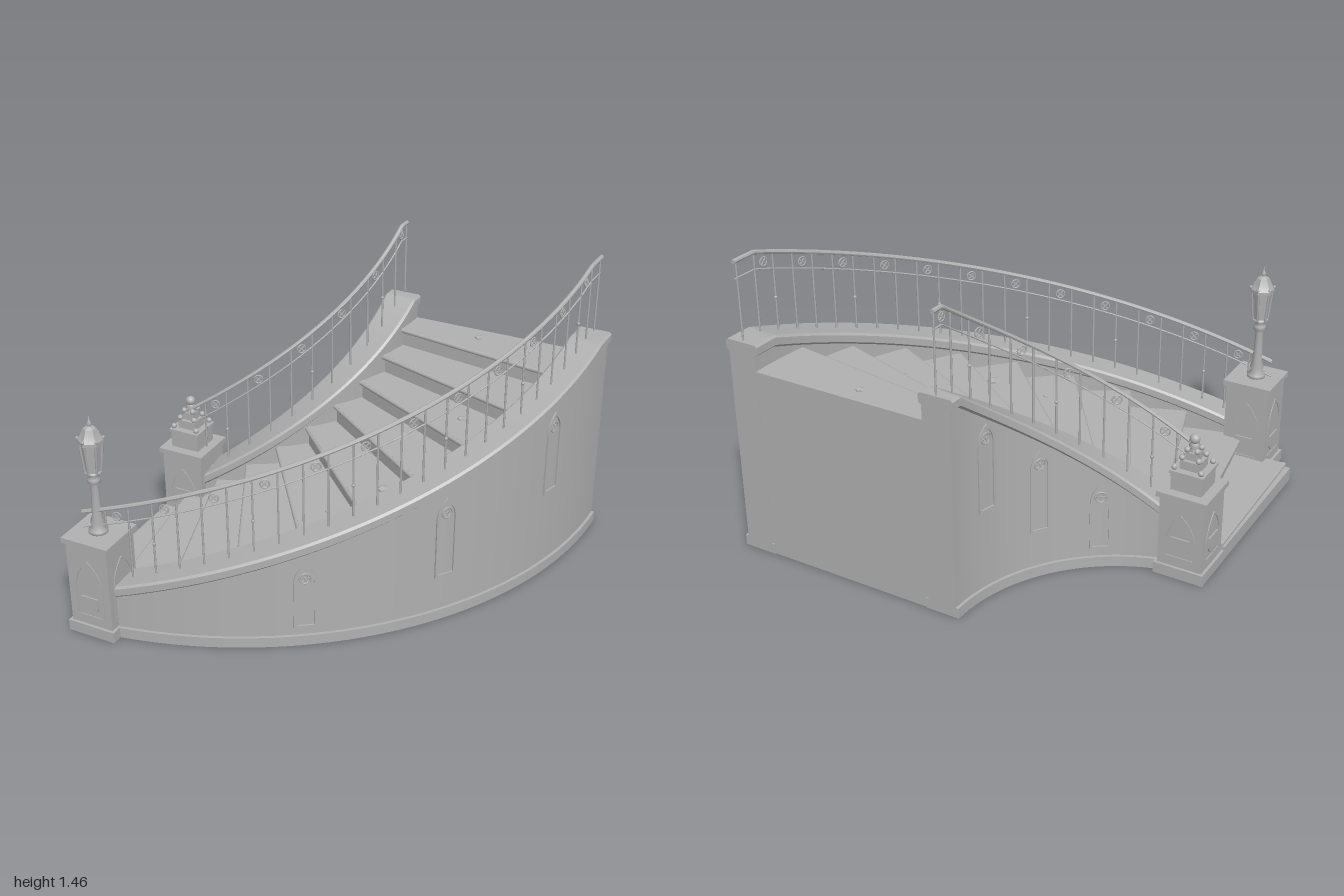
import * as THREE from 'three';
import { toCreasedNormals } from 'three/addons/utils/BufferGeometryUtils.js';

const stone = new THREE.MeshStandardMaterial({ color: 0xb0b0b0 });
stone.name = 'grey stone';
const D = Math.PI / 180;
const STEPS = 10, RISE = 0.0945, ARC = 9;

// Point on the stair plan, slightly flattened in z (angle 0 = top end, 90 = foot)
const planX = (r, a) => -1 + r * Math.cos(a * D);
const planZ = (r, a) => -0.99 + 0.985 * r * Math.sin(a * D);
const copingY = (a) => 1.075 - 0.01056 * (Math.max(a, 4) - 4);
const railY = (a) => copingY(a) + 0.375;
const flat = () => 0;

function add(parent, name, geo, x = 0, y = 0, z = 0) {
  const m = new THREE.Mesh(geo, stone);
  m.name = name;
  m.position.set(x, y, z);
  parent.add(m);
  return m;
}
const box = (p, name, w, h, d, x, y, z) => add(p, name, new THREE.BoxGeometry(w, h, d), x, y, z);

// Sweeps a counter-clockwise (radius, height) section around the stair centre
function arcSweep(section, a0, a1, n) {
  const pos = [], idx = [];
  const m = section(a0).length;
  for (let k = 0; k <= n; k++) {
    const a = a0 + (a1 - a0) * k / n;
    for (const [r, y] of section(a)) pos.push(planX(r, a), y, planZ(r, a));
  }
  for (let k = 0; k < n; k++) for (let i = 0; i < m; i++) {
    const j = (i + 1) % m, p = k * m, q = p + m;
    idx.push(p + i, p + j, q + i, p + j, q + j, q + i);
  }
  const outline = section(a0).map(([r, y]) => new THREE.Vector2(r, y));
  for (const [a, b, c] of THREE.ShapeUtils.triangulateShape(outline, [])) {
    idx.push(a, c, b, n * m + a, n * m + b, n * m + c);
  }
  const g = new THREE.BufferGeometry();
  g.setAttribute('position', new THREE.Float32BufferAttribute(pos, 3));
  g.setIndex(idx);
  return toCreasedNormals(g.toNonIndexed(), 0.6);
}
const rect = (r0, r1, low, high) => (a) => [[r0, low(a)], [r1, low(a)], [r1, high(a)], [r0, high(a)]];
const round = (r, rad, height) => (a) => Array.from({ length: 8 }, (_, i) =>
  [r + rad * Math.cos(i * Math.PI / 4), height(a) + rad * Math.sin(i * Math.PI / 4)]);

// Sets an object on the arc with its local z pointing outwards (or inwards)
function onArc(obj, r, a, y, inward = false) {
  obj.position.set(planX(r, a), y, planZ(r, a));
  obj.rotation.y = Math.PI / 2 - a * D + (inward ? Math.PI : 0);
  return obj;
}

// Pointed arch outline, standing on y = 0
function arch(path, w, h) {
  const s = h - w * 1.05;
  path.moveTo(-w / 2, 0);
  path.lineTo(w / 2, 0);
  path.lineTo(w / 2, s);
  path.quadraticCurveTo(w / 2, s + w * 0.65, 0, h);
  path.quadraticCurveTo(-w / 2, s + w * 0.65, -w / 2, s);
  path.lineTo(-w / 2, 0);
  return path;
}
function archFrame(w, h, t, depth) {
  const shape = arch(new THREE.Shape(), w, h);
  const hole = arch(new THREE.Path(), w - 2 * t, h - 2.4 * t);
  shape.holes.push(new THREE.Path(hole.getPoints(8).map((p) => p.add(new THREE.Vector2(0, t)))));
  return new THREE.ExtrudeGeometry(shape, { depth, bevelEnabled: false, curveSegments: 8 });
}

function lancet(parent, w, h) {
  const g = new THREE.Group();
  g.name = 'lancetWindow';
  const cy = h - w * 0.72;
  add(g, 'windowFrame', archFrame(w, h, 0.014, 0.016), 0, 0, -0.008);
  add(g, 'rosette', new THREE.TorusGeometry(0.026, 0.004, 6, 16), 0, cy, 0.001);
  for (let i = 0; i < 3; i++) {
    const a = (90 + i * 120) * D;
    add(g, 'rosetteLobe', new THREE.TorusGeometry(0.01, 0.003, 5, 10), 0.012 * Math.cos(a), cy + 0.012 * Math.sin(a), 0.001);
  }
  parent.add(g);
  return g;
}

// Curved side wall with plinth, coping, windows and iron railing
function side(name, r, end, railEnd, bars, firstRing, inward) {
  const g = new THREE.Group();
  g.name = name;
  add(g, 'wall', arcSweep(rect(r - 0.07, r + 0.07, flat, (a) => copingY(a) - 0.03), 0, end, 64));
  add(g, 'wallPlinth', arcSweep(rect(r - 0.085, r + 0.085, flat, () => 0.052), 0, end, 48));
  add(g, 'coping', arcSweep((a) => [[-0.07, -0.06], [0.07, -0.06], [0.085, -0.047], [0.085, -0.012], [0.074, -0.002],
    [-0.074, -0.002], [-0.085, -0.012], [-0.085, -0.047]].map(([x, y]) => [r + x, copingY(a) + y]), 0, end, 82));
  add(g, 'handrail', arcSweep(round(r, 0.011, railY), 0, railEnd, 88));
  add(g, 'lowerRail', arcSweep(round(r, 0.004, (a) => railY(a) - 0.08), 0, railEnd, 88));
  const gap = (railEnd - 4) / bars;
  for (let i = 0; i <= bars; i++) {
    const a = 0.5 + i * gap, h = railY(a) - copingY(a);
    onArc(add(g, 'baluster', new THREE.CylinderGeometry(0.005, 0.005, h, 6)), r, a, copingY(a) + h / 2);
    if (i % 4 === 2) onArc(add(g, 'balusterKnob', new THREE.SphereGeometry(0.009, 8, 6)), r, a, copingY(a) + h * 0.42);
    if (i % 2 !== firstRing) continue;
    const ring = onArc(new THREE.Group(), r, a + gap / 2, railY(a + gap / 2) - 0.046);
    ring.name = 'railOrnament';
    add(ring, 'ring', new THREE.TorusGeometry(0.021, 0.0035, 6, 18));
    for (const s of [-1, 1]) box(ring, 'cross', 0.04, 0.005, 0.005, 0, 0, 0).rotation.z = s * Math.PI / 4;
    g.add(ring);
  }
  for (const [a, y, h] of [[54.7, 0.09, 0.345], [35, 0.23, 0.42], [15.6, 0.44, 0.43]]) {
    onArc(lancet(g, inward ? 0.1 : 0.11, h), inward ? r - 0.07 : r + 0.07, a, y, inward);
  }
  return g;
}

// Square newel with moulded base and cap, arch and shield on each face
function newel(name, x, z, h) {
  const g = new THREE.Group();
  g.name = name;
  g.position.set(x, 0, z);
  box(g, 'newelBase', 0.245, 0.055, 0.245, 0, 0.0275, 0);
  box(g, 'newelShaft', 0.218, h - 0.05, 0.218, 0, h / 2, 0);
  box(g, 'newelCap', 0.245, 0.027, 0.245, 0, h - 0.0135, 0);
  const shield = new THREE.Shape();
  shield.moveTo(-0.045, 0.04);
  shield.lineTo(-0.045, -0.01);
  shield.quadraticCurveTo(-0.04, -0.04, 0, -0.055);
  shield.quadraticCurveTo(0.04, -0.04, 0.045, -0.01);
  shield.lineTo(0.045, 0.04);
  for (let i = 0; i < 4; i++) {
    const face = new THREE.Group();
    face.name = 'newelFace';
    face.rotation.y = i * Math.PI / 2;
    add(face, 'panelArch', archFrame(0.15, h - 0.2, 0.008, 0.006), 0, 0.1, 0.107);
    add(face, 'shield', new THREE.ExtrudeGeometry(shield, { depth: 0.009, bevelEnabled: false }), 0, 0.17, 0.107);
    g.add(face);
  }
  return g;
}
const lathe = (pts, n) => new THREE.LatheGeometry(pts.map(([x, y]) => new THREE.Vector2(x, y)), n);

export function createModel() {
  const model = new THREE.Group();
  model.name = 'curvedStaircase';
  model.add(side('outerSide', 1.913, 83, 85, 24, 1, false));
  model.add(side('innerSide', 0.905, 78, 80, 11, 0, true));

  // Winding steps: solid wedges down to the ground, each with a rounded tread
  const steps = new THREE.Group();
  steps.name = 'steps';
  for (let i = 0; i < STEPS; i++) {
    const a = 90 - ARC * i, top = RISE * (i + 1), r0 = i ? 0.95 : 1.0, r1 = i ? 1.86 : 1.83;
    const front = i ? a + 0.4 : a - 1.2;
    add(steps, 'tread', arcSweep(rect(r0, r1, () => top - 0.024, () => top), a - ARC, front, 6));
    add(steps, 'stepBody', arcSweep(rect(r0, r1, () => 0.006, () => top - 0.02), a - ARC + 0.25, i ? a - 0.3 : a, 6));
    const nose = onArc(add(steps, 'nosing', new THREE.CylinderGeometry(0.012, 0.012, r1 - r0, 10)),
      (r0 + r1) / 2, front, top - 0.012);
    nose.rotation.order = 'YXZ';
    nose.rotation.x = Math.PI / 2;
  }
  box(steps, 'backPanel', 0.86, RISE * STEPS - 0.01, 0.02, 0.42, (RISE * STEPS - 0.01) / 2, -0.975);
  model.add(steps);

  // Loose stones lying on the treads
  for (const [x, z, s] of [[0.35, -0.9, 0.022], [0.47, -0.4, 0.022], [0.28, 0.07, 0.032], [0.07, 0.22, 0.016]]) {
    const a = Math.atan2(z + 0.99, x + 1) / D;
    add(model, 'looseStone', new THREE.DodecahedronGeometry(s), x, RISE * (Math.floor((90 - a) / ARC) + 1), z).scale.y = 0.6;
  }

  // Outer newel with hexagonal lantern
  const lampPost = newel('lampNewel', -0.76, 0.875, 0.505);
  add(lampPost, 'lampColumn', lathe([[0, 0.5], [0.045, 0.5], [0.045, 0.52], [0.028, 0.535], [0.034, 0.56], [0.024, 0.59],
    [0.018, 0.75], [0.03, 0.765], [0.03, 0.785], [0.018, 0.8], [0.04, 0.82], [0, 0.825]], 16));
  add(lampPost, 'lanternGlass', toCreasedNormals(lathe([[0, 0.815], [0.034, 0.82], [0.047, 0.97], [0, 0.975]], 6), 0.3));
  add(lampPost, 'lanternRoof', toCreasedNormals(lathe([[0, 0.965], [0.06, 0.965], [0.06, 0.98], [0.045, 1.0],
    [0.03, 1.035], [0.012, 1.045], [0, 1.045]], 6), 0.3));
  add(lampPost, 'lanternFinial', lathe([[0.01, 1.04], [0.007, 1.05], [0.014, 1.06], [0.005, 1.07], [0, 1.095]], 10));
  for (let i = 0; i < 6; i++) {
    const a = i * Math.PI / 3;
    const at = (r, y) => new THREE.Vector3(r * Math.sin(a), y, r * Math.cos(a));
    add(lampPost, 'lanternBar', new THREE.TubeGeometry(new THREE.LineCurve3(at(0.036, 0.815), at(0.051, 0.97)), 1, 0.006, 5));
    add(lampPost, 'roofBead', new THREE.SphereGeometry(0.008, 6, 5)).position.copy(at(0.057, 0.988));
  }
  model.add(lampPost);

  // Inner newel with stepped pedestal and beaded finial
  const finialPost = newel('finialNewel', -0.875, -0.125, 0.43);
  box(finialPost, 'pedestal', 0.15, 0.09, 0.15, 0, 0.47, 0);
  box(finialPost, 'pedestalCap', 0.165, 0.014, 0.165, 0, 0.522, 0);
  box(finialPost, 'pedestalStep', 0.095, 0.045, 0.095, 0, 0.55, 0);
  box(finialPost, 'pedestalTop', 0.06, 0.04, 0.06, 0, 0.59, 0);
  add(finialPost, 'finialNeck', lathe([[0.028, 0.6], [0.015, 0.625], [0.026, 0.64], [0.014, 0.655]], 12));
  add(finialPost, 'finialBall', new THREE.SphereGeometry(0.024, 14, 10), 0, 0.67, 0);
  for (const sx of [-1, 1]) for (const sz of [-1, 1]) {
    for (const [d, y] of [[0.064, 0.543], [0.04, 0.585], [0.024, 0.622]]) {
      add(finialPost, 'bead', new THREE.SphereGeometry(0.014, 10, 8), sx * d, y, sz * d);
    }
  }
  model.add(finialPost);
  return model;
}
